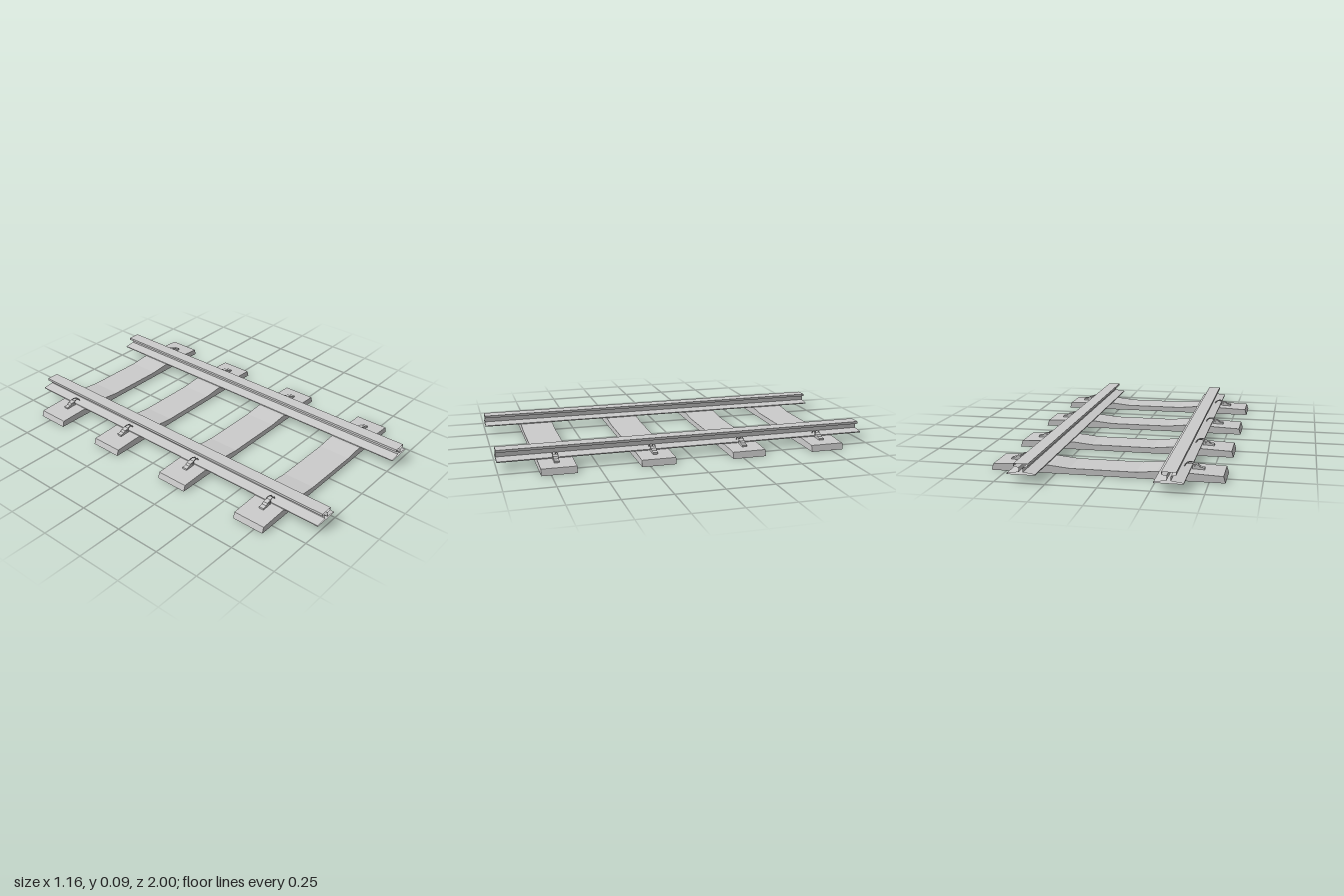
import * as THREE from 'three';

const material = new THREE.MeshStandardMaterial({ color: 0xcccccc, flatShading: true, side: THREE.DoubleSide });

function addMesh(parent, geometry, name) {
  const mesh = new THREE.Mesh(geometry, material);
  mesh.name = name;
  parent.add(mesh);
  return mesh;
}

// Sweeps an open [x, y] profile along z, leaving both ends uncapped.
function ribbon(profile, length) {
  const h = length / 2, positions = [];
  for (let i = 0; i < profile.length - 1; i++) {
    const [px, py] = profile[i], [qx, qy] = profile[i + 1];
    positions.push(px, py, h, qx, qy, h, qx, qy, -h);
    positions.push(px, py, h, qx, qy, -h, px, py, -h);
  }
  const geometry = new THREE.BufferGeometry();
  geometry.setAttribute('position', new THREE.Float32BufferAttribute(positions, 3));
  geometry.computeVertexNormals();
  return geometry;
}

const toShape = (points) => new THREE.Shape(points.map(([x, y]) => new THREE.Vector2(x, y)));

// Sleeper outline: sloped ends, raised rail seats and a dipped middle.
const sleeperProfile = [
  [-0.578, 0], [-0.568, 0.033], [-0.4, 0.04], [-0.25, 0.04], [-0.15, 0.03],
  [0.18, 0.03], [0.28, 0.04], [0.42, 0.04], [0.568, 0.033], [0.578, 0],
];

// Hollow sleeper, open underneath.
function createSleeper() {
  const width = 0.18, sleeper = new THREE.Group();
  sleeper.name = 'sleeper';
  addMesh(sleeper, ribbon(sleeperProfile, width), 'sleeperTop');
  addMesh(sleeper, new THREE.ShapeGeometry(toShape(sleeperProfile)), 'sleeperFrontWall').position.z = width / 2;
  const mirrored = sleeperProfile.map(([x, y]) => [-x, y]);
  const back = addMesh(sleeper, new THREE.ShapeGeometry(toShape(mirrored)), 'sleeperBackWall');
  back.rotation.y = Math.PI;
  back.position.z = -width / 2;
  return sleeper;
}

// Rail section: half outline from head to foot, mirrored into a closed loop.
function createRail() {
  const half = [
    [0.035, 0.095], [0.035, 0.082], [0.01, 0.076], [0.01, 0.054], [0.07, 0.046], [0.07, 0.041],
  ];
  const left = half.map(([x, y]) => [-x, y]).reverse();
  return ribbon([...left, ...half, left[0]], 2);
}

// Rail fastening: stepped block outside the foot with two sprung prongs onto it.
// Local x = 0 is the prong tip, +x points away from the rail.
function createClip() {
  const clip = new THREE.Group();
  clip.name = 'railClip';
  const block = new THREE.ExtrudeGeometry(toShape([
    [0.04, 0.036], [0.1, 0.036], [0.1, 0.046], [0.077, 0.05], [0.068, 0.06], [0.04, 0.064],
  ]), { depth: 0.026, bevelEnabled: false });
  addMesh(clip, block.translate(0, 0, -0.013), 'clipBlock');
  for (const side of [-1, 1]) {
    const path = new THREE.CatmullRomCurve3([
      [0, 0.048, 0.008], [0.009, 0.062, 0.009], [0.026, 0.068, 0.011],
      [0.045, 0.064, 0.013], [0.055, 0.05, 0.014],
    ].map(([x, y, z]) => new THREE.Vector3(x, y, z * side)));
    addMesh(clip, new THREE.TubeGeometry(path, 10, 0.0025, 5), 'clipProng');
  }
  return clip;
}

export function createModel() {
  const model = new THREE.Group();
  model.name = 'railwayTrack';

  // Rails
  addMesh(model, createRail(), 'rightRail').position.x = -0.335;
  addMesh(model, createRail(), 'leftRail').position.x = 0.365;

  // Sleepers, each with a clip outside either rail
  for (const z of [-0.73, -0.285, 0.203, 0.71]) {
    const sleeper = createSleeper();
    sleeper.position.z = z;
    const leftClip = createClip();
    leftClip.position.x = 0.4;
    const rightClip = createClip();
    rightClip.position.x = -0.37;
    rightClip.rotation.y = Math.PI;
    sleeper.add(leftClip, rightClip);
    model.add(sleeper);
  }
  return model;
}
